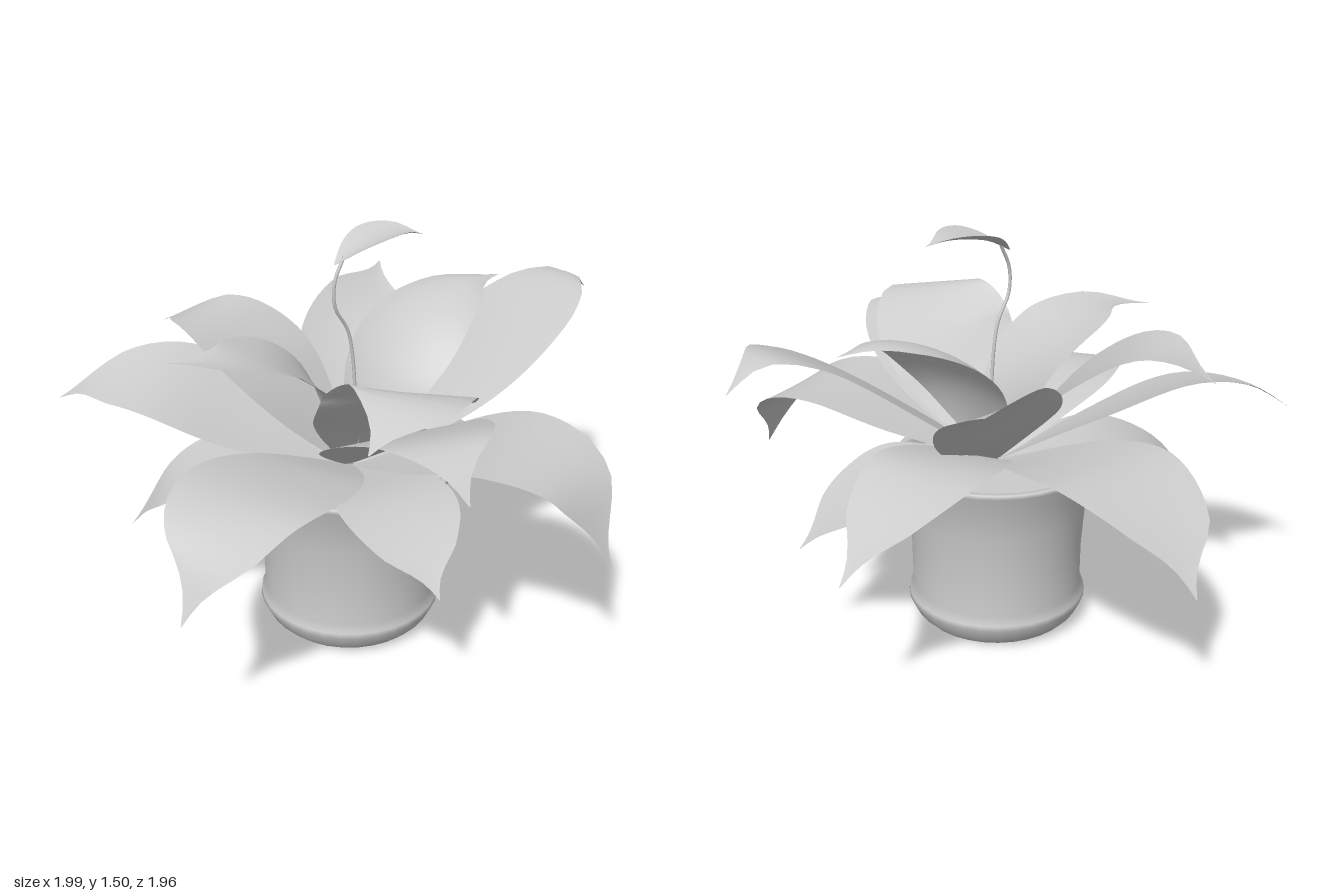
import * as THREE from 'three';

const V = (p) => new THREE.Vector3(...p);
const BASE = [-0.03, 0.62, 0.03];
const UP = new THREE.Vector3(0, 1, 0);
const leafMaterial = new THREE.MeshStandardMaterial({ color: 0xcccccc, side: THREE.DoubleSide });

// Half-width along the blade: full body, concave taper to a narrow tip
const outline = (t) =>
  (0.015 + 0.04 * (1 - t) + Math.max(0, Math.sin(Math.PI * t))) * (1 - 0.55 * THREE.MathUtils.smoothstep(t, 0.78, 0.97));

// Blade swept along a midrib; cup lifts (or drops) both edges, roll lowers the right edge
function blade(points, halfWidth, cup = 0, roll = 0, rows = 24, cols = 8) {
  const curve = new THREE.CatmullRomCurve3(points.map(V));
  const chord = V(points[points.length - 1]).sub(V(points[0])).setY(0).normalize();
  const position = [];
  const index = [];
  for (let i = 0; i <= rows; i++) {
    const t = i / rows;
    const centre = curve.getPointAt(t);
    const tangent = curve.getTangentAt(t);
    const heading = tangent.clone().setY(0).normalize().lerp(chord, 0.4);
    const side = heading.cross(UP).normalize();
    side.addScaledVector(tangent, -side.dot(tangent)).normalize().applyAxisAngle(tangent, roll);
    const normal = side.clone().cross(tangent).normalize();
    const w = halfWidth * outline(t);
    for (let j = 0; j <= cols; j++) {
      const s = (2 * j) / cols - 1;
      const p = centre.clone().addScaledVector(side, s * w).addScaledVector(normal, cup * w * (s * s - 0.2));
      position.push(p.x, p.y, p.z);
      if (i < rows && j < cols) {
        const a = i * (cols + 1) + j;
        const b = a + cols + 1;
        index.push(a, a + 1, b, a + 1, b + 1, b);
      }
    }
  }
  const geometry = new THREE.BufferGeometry();
  geometry.setAttribute('position', new THREE.Float32BufferAttribute(position, 3));
  geometry.setIndex(index);
  geometry.computeVertexNormals();
  return geometry;
}

// Midrib points after the shared base, half width, cup, roll
const LEAVES = {
  upperLeaf: [
    [[[-0.18, 0.99, -0.26], [-0.28, 1.12, -0.5], [-0.33, 1.03, -0.71]], 0.24, 0.05, 0],
    [[[0.15, 0.82, -0.18], [0.36, 1.02, -0.34], [0.57, 1.11, -0.51]], 0.22, 0.1, 0.4],
    [[[0.25, 0.86, 0.13], [0.62, 1.12, 0.21], [0.86, 1.2, 0.2], [0.99, 1.11, 0.2]], 0.26, -0.05, 0],
    [[[0.12, 0.96, 0.03], [0.3, 1.13, 0.03], [0.5, 1.2, 0.04], [0.67, 1.19, 0.05]], 0.21, -0.2, 0.12],
    [[[-0.09, 0.88, 0.23], [-0.13, 1.05, 0.4], [-0.23, 1.15, 0.54], [-0.47, 1.06, 0.64]], 0.25, 0, -0.1],
    [[[-0.14, 0.93, 0.02], [-0.3, 1.08, -0.02], [-0.49, 1.14, -0.05], [-0.65, 1.13, -0.17]], 0.2, 0.1, 0],
  ],
  middleLeaf: [
    [[[-0.27, 0.8, -0.23], [-0.52, 0.93, -0.46], [-0.68, 0.91, -0.62], [-0.77, 0.83, -0.74]], 0.23, 0.05, -0.25],
    [[[-0.11, 0.85, 0.3], [-0.18, 1.0, 0.54], [-0.26, 1.06, 0.75], [-0.31, 0.95, 0.91]], 0.26, 0, 0],
    [[[0.08, 0.75, 0.3], [0.2, 0.85, 0.6], [0.28, 0.79, 0.82], [0.3, 0.52, 0.98]], 0.26, 0.03, 0],
    [[[-0.35, 0.76, 0.16], [-0.7, 0.81, 0.28], [-0.87, 0.73, 0.36], [-1.0, 0.55, 0.39]], 0.26, 0.03, 0],
    [[[0.24, 0.76, -0.08], [0.5, 0.81, -0.17], [0.72, 0.73, -0.2], [0.91, 0.56, -0.21]], 0.21, 0.03, 0],
    [[[-0.02, 0.74, -0.34], [0.0, 0.76, -0.58], [0.03, 0.67, -0.8], [0.1, 0.49, -0.98]], 0.25, 0.03, 0],
  ],
  lowerLeaf: [
    [[[0.3, 0.67, 0.14], [0.5, 0.58, 0.23], [0.68, 0.42, 0.3]], 0.21, 0.03, 0],
    [[[-0.37, 0.68, -0.18], [-0.58, 0.6, -0.31], [-0.7, 0.42, -0.41]], 0.2, 0.03, 0],
    [[[-0.14, 0.68, 0.38], [-0.22, 0.64, 0.58], [-0.28, 0.53, 0.77]], 0.2, 0.03, 0],
  ],
};

export function createModel() {
  const model = new THREE.Group();
  model.name = 'pottedPlant';
  const add = (name, geometry, material) => {
    const mesh = new THREE.Mesh(geometry, material);
    mesh.name = name;
    model.add(mesh);
    return mesh;
  };

  // Pot with rounded foot, waist and flared lip
  const potProfile = [
    [0, 0], [0.25, 0], [0.285, 0.01], [0.31, 0.035], [0.335, 0.085], [0.333, 0.105],
    [0.318, 0.135], [0.32, 0.3], [0.331, 0.45], [0.353, 0.57], [0.382, 0.635], [0.378, 0.648],
    [0.36, 0.65], [0.348, 0.635], [0.337, 0.59],
  ].map(([r, y]) => new THREE.Vector2(r, y));
  add('pot', new THREE.LatheGeometry(potProfile, 32), leafMaterial).position.set(-0.037, 0, 0.03);

  // Soil disc inside the pot
  const soil = add('soil', new THREE.CircleGeometry(0.34, 32), leafMaterial);
  soil.rotation.x = -Math.PI / 2;
  soil.position.set(-0.037, 0.6, 0.03);

  // Three whorls of leaves
  for (const [name, leaves] of Object.entries(LEAVES)) {
    for (const [path, width, cup, roll] of leaves) {
      add(name, blade([BASE, ...path], width, cup, roll), leafMaterial);
    }
  }

  // Curved stalk with a folded young leaf
  const stalk = new THREE.CatmullRomCurve3(
    [BASE, [-0.01, 0.85, 0.03], [-0.04, 1.14, 0.03], [-0.1, 1.25, 0.03], [-0.1, 1.34, 0.03], [-0.06, 1.42, 0.03]].map(V));
  add('stalk', new THREE.TubeGeometry(stalk, 32, 0.006, 8), leafMaterial);
  add('youngLeaf', blade(
    [[-0.1, 1.4, 0.03], [-0.02, 1.445, 0.045], [0.07, 1.47, 0.06], [0.16, 1.475, 0.08], [0.23, 1.455, 0.105]],
    0.09, 0.3, 0, 14, 6), leafMaterial);

  return model;
}
